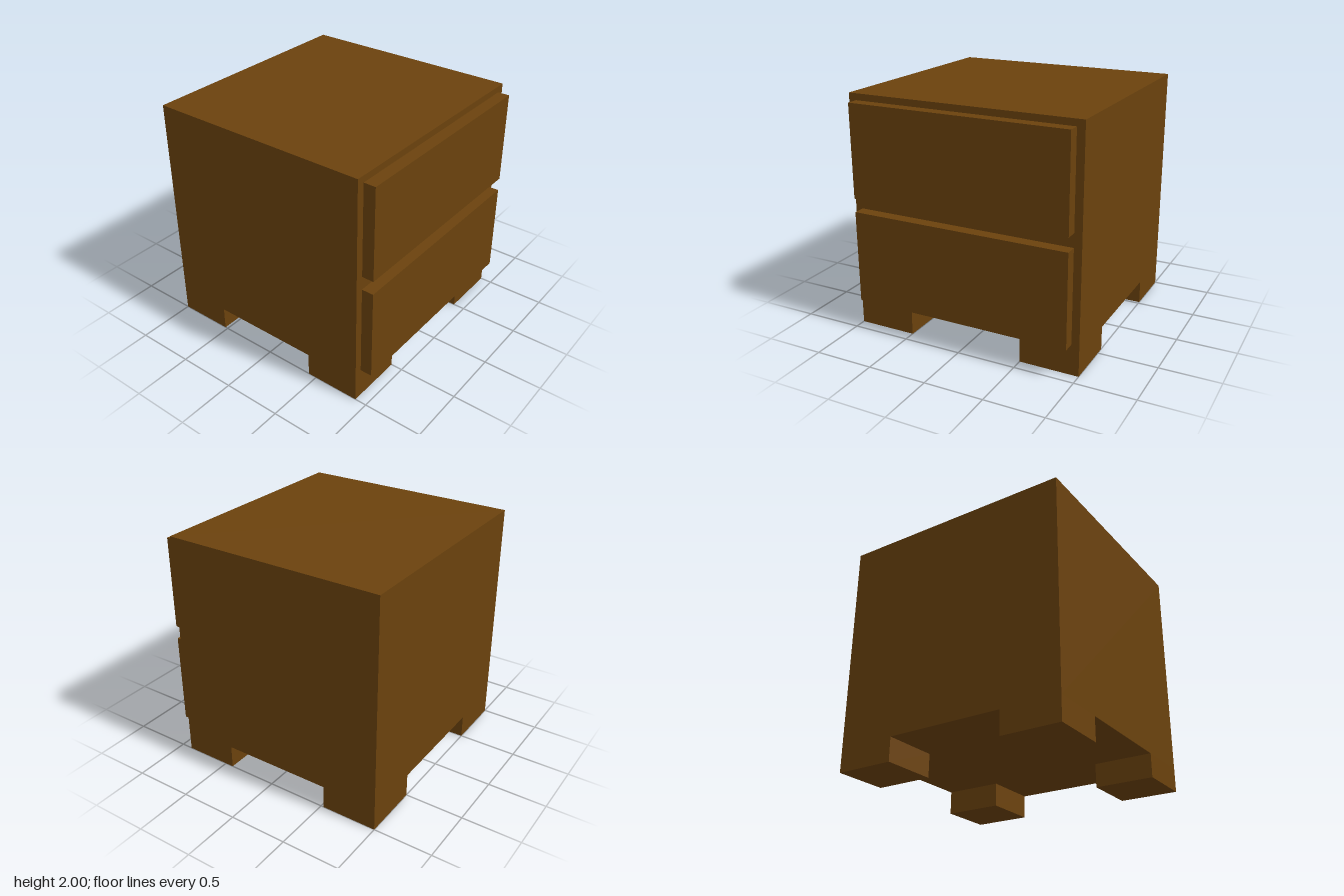
import * as THREE from 'three';

export function createModel() {
  const model = new THREE.Group();
  model.name = 'nightstand';
  const wood = new THREE.MeshStandardMaterial({ color: 0x6b420d });

  // Box given by its lower and upper limits on each axis
  const addBox = (name, [x0, x1], [y0, y1], [z0, z1]) => {
    const mesh = new THREE.Mesh(new THREE.BoxGeometry(x1 - x0, y1 - y0, z1 - z0), wood);
    mesh.position.set((x0 + x1) / 2, (y0 + y1) / 2, (z0 + z1) / 2);
    mesh.name = name;
    model.add(mesh);
  };

  const legHeight = 0.2;
  const front = 0.9; // plane the drawers stand out from

  // Cabinet body
  addBox('cabinet', [-1, front], [legHeight, 2], [-1, 1]);

  // Four block legs flush with the corners
  for (const x of [[-1, -0.525], [0.425, front]]) {
    for (const z of [[-1, -0.5], [0.5, 1]]) addBox('leg', x, [0, legHeight], z);
  }

  // Two drawer fronts
  addBox('lowerDrawer', [front, 1], [0.26, 1.045], [-0.935, 0.935]);
  addBox('upperDrawer', [front, 1], [1.16, 1.945], [-0.935, 0.935]);

  return model;
}
